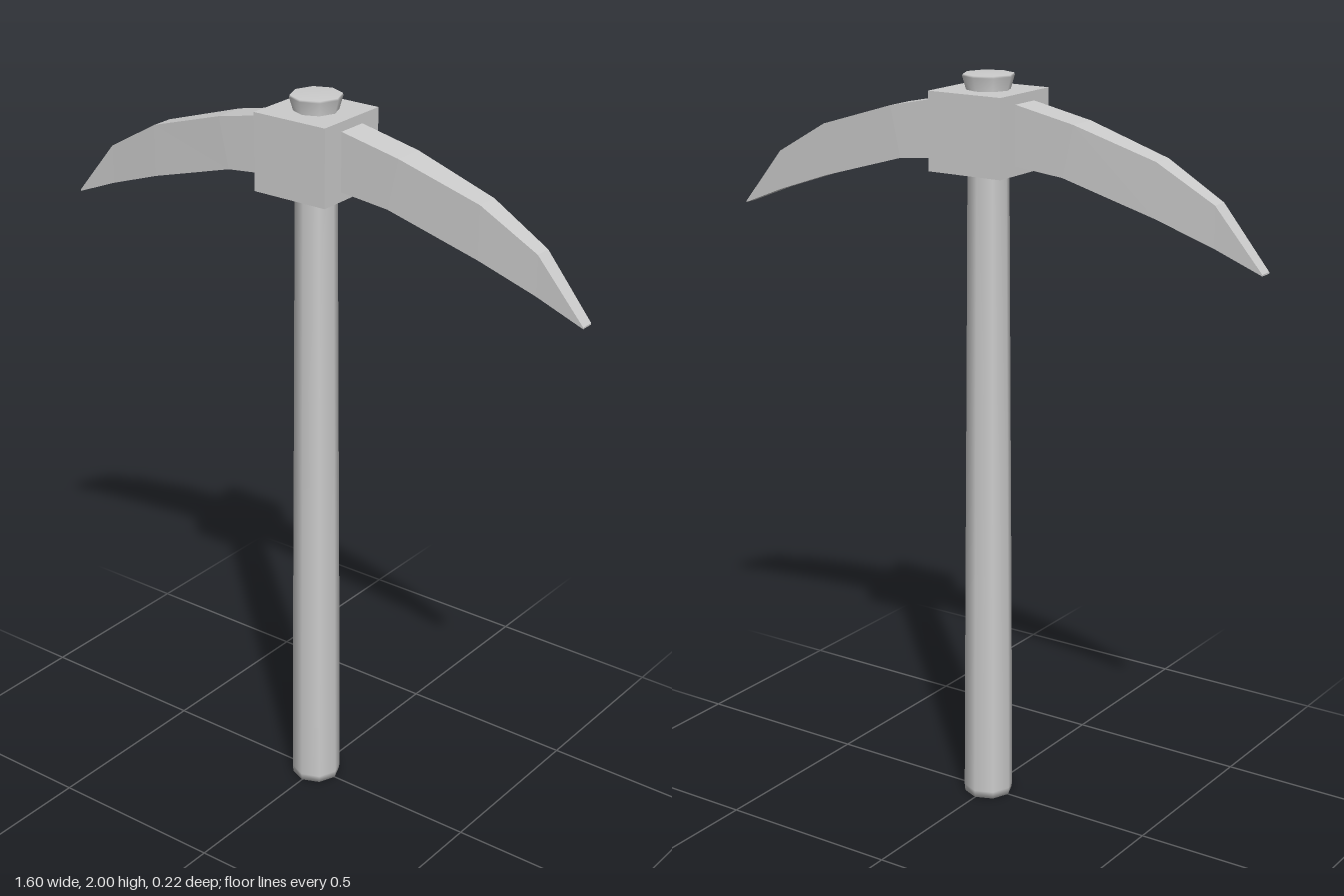
import * as THREE from 'three';

const grey = () => new THREE.MeshStandardMaterial({ color: 0xcccccc });

// Half of the curved head: four-cornered sections joined from root to tip
function makeBlade(side) {
  // [upper x, upper y, lower x, lower y, half thickness]
  const sections = [
    [0.0, 1.94, 0.0, 1.79, 0.043],
    [0.11, 1.935, 0.11, 1.78, 0.043],
    [0.28, 1.9, 0.25, 1.765, 0.042],
    [0.51, 1.83, 0.51, 1.69, 0.031],
    [0.67, 1.74, 0.67, 1.635, 0.023],
    [0.8, 1.587, 0.8, 1.583, 0.018],
  ];
  const positions = [];
  const index = [];
  for (const [ux, uy, lx, ly, h] of sections) {
    positions.push(side * ux, uy, h, side * ux, uy, -h, side * lx, ly, -h, side * lx, ly, h);
  }
  const quad = (a, b, c, d) =>
    side > 0 ? index.push(a, b, c, a, c, d) : index.push(a, c, b, a, d, c);
  for (let i = 0; i < sections.length - 1; i++) {
    for (let k = 0; k < 4; k++) {
      const n = (k + 1) % 4;
      quad(i * 4 + k, i * 4 + 4 + k, i * 4 + 4 + n, i * 4 + n);
    }
  }
  // Narrow end face at the tip
  const e = (sections.length - 1) * 4;
  quad(e, e + 3, e + 2, e + 1);

  const indexed = new THREE.BufferGeometry();
  indexed.setAttribute('position', new THREE.Float32BufferAttribute(positions, 3));
  indexed.setIndex(index);
  const geometry = indexed.toNonIndexed();
  geometry.computeVertexNormals();
  const material = grey();
  material.flatShading = true;
  return new THREE.Mesh(geometry, material);
}

export function createModel() {
  const model = new THREE.Group();
  model.name = 'pickaxe';

  // Tapered eight-sided handle, flaring again above the head
  const profile = [
    [0, 0], [0.066, 0], [0.068, 0.02], [0.064, 0.6], [0.059, 1.2],
    [0.055, 1.75], [0.055, 1.95], [0.068, 1.995], [0.066, 2], [0, 2],
  ].map(([r, y]) => new THREE.Vector2(r, y));
  const handle = new THREE.Mesh(new THREE.LatheGeometry(profile, 8), grey());
  handle.name = 'handle';
  model.add(handle);

  // Square block that holds the blades
  const collar = new THREE.Mesh(new THREE.BoxGeometry(0.22, 0.205, 0.22), grey());
  collar.name = 'collar';
  collar.position.y = 1.8575;
  model.add(collar);

  for (const [side, name] of [[1, 'leftBlade'], [-1, 'rightBlade']]) {
    const blade = makeBlade(side);
    blade.name = name;
    model.add(blade);
  }
  return model;
}
